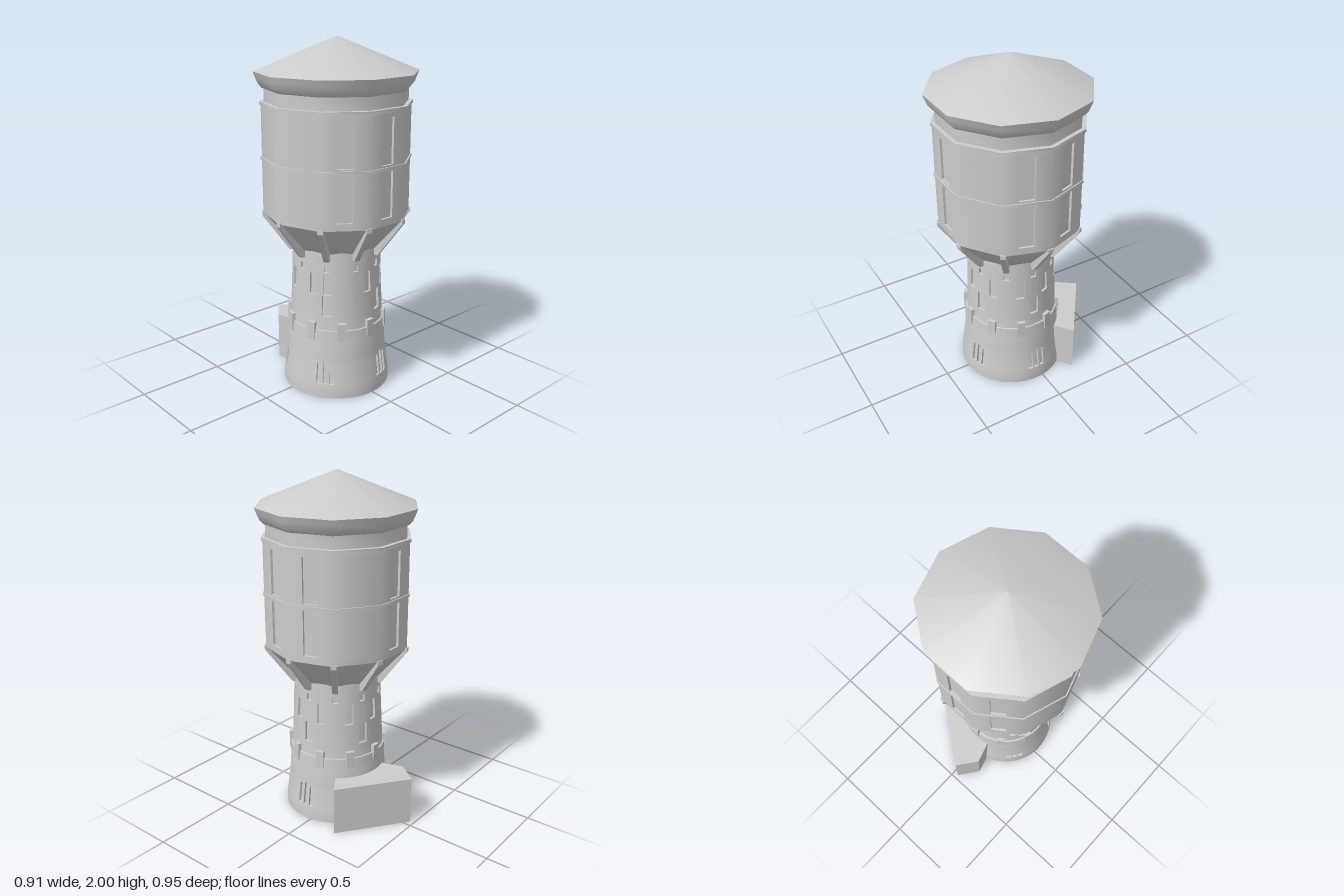
import * as THREE from 'three';
import { toCreasedNormals } from 'three/addons/utils/BufferGeometryUtils.js';

const DEG = Math.PI / 180;
const CREASE = 38 * DEG;
const CENTRE_Z = 0.042;
const stone = new THREE.MeshStandardMaterial({ color: 0xcccccc });
stone.name = 'stone grey';

const uniqueSorted = (list) => [...new Set(list.map((v) => +v.toFixed(4)))].sort((a, b) => a - b);
const angleGap = (a, b) => Math.abs(((a - b + 540) % 360) - 180);
const tenfold = (start) => Array.from({ length: 10 }, (_, i) => start + 36 * i);

function add(group, name, geometry) {
  const mesh = new THREE.Mesh(geometry, stone);
  mesh.name = name;
  group.add(mesh);
  return mesh;
}

// Turned profile; ten sides put the corners at 18 + 36k degrees
function turned(profile, sides = 10) {
  const points = profile.map(([r, y]) => new THREE.Vector2(r, y));
  return toCreasedNormals(new THREE.LatheGeometry(points, sides, 18 * DEG), CREASE);
}

// Upright wall around the axis, with openings set back by a depth.
// Each opening is { a: azimuth, half: half angle, y0, y1 }, in degrees.
function wallWithOpenings(baseAngles, baseYs, openings, radius, depth) {
  const angles = uniqueSorted([...baseAngles,
    ...openings.flatMap((o) => [o.a - o.half, o.a + o.half])].map((a) => (a + 720) % 360));
  const ys = uniqueSorted([...baseYs, ...openings.flatMap((o) => [o.y0, o.y1])]);
  const n = angles.length, rows = ys.length - 1;
  const next = (i) => (i + 1) % n;
  const open = [];
  for (let i = 0; i < n; i++) {
    const mid = angles[i] + ((angles[next(i)] - angles[i] + 360) % 360) / 2;
    open.push([]);
    for (let j = 0; j < rows; j++) {
      const y = (ys[j] + ys[j + 1]) / 2;
      open[i].push(openings.some((o) => angleGap(mid, o.a) < o.half && y > o.y0 && y < o.y1));
    }
  }
  const at = (i, j, set) => {
    const r = radius(angles[i], ys[j]) - (set ? depth : 0);
    return [r * Math.sin(angles[i] * DEG), ys[j], r * Math.cos(angles[i] * DEG)];
  };
  const pos = [];
  const quad = (a, b, c, d) => pos.push(...a, ...b, ...c, ...a, ...c, ...d);
  for (let i = 0; i < n; i++) {
    const k = next(i);
    for (let j = 0; j < rows; j++) {
      const s = open[i][j];
      quad(at(i, j, s), at(k, j, s), at(k, j + 1, s), at(i, j + 1, s));
      // jambs
      const t = open[k][j];
      if (s !== t) quad(at(k, j, s), at(k, j, t), at(k, j + 1, t), at(k, j + 1, s));
      // sills and lintels
      if (j + 1 < rows && s !== open[i][j + 1]) {
        const u = open[i][j + 1];
        quad(at(i, j + 1, s), at(k, j + 1, s), at(k, j + 1, u), at(i, j + 1, u));
      }
    }
  }
  const geometry = new THREE.BufferGeometry();
  geometry.setAttribute('position', new THREE.Float32BufferAttribute(pos, 3));
  return toCreasedNormals(geometry, CREASE);
}

// Round shaft with a flared foot, windows and triple lancets
function buildShaft(group) {
  const profile = [[0.31, 0], [0.31, 0.05], [0.304, 0.09], [0.296, 0.15], [0.288, 0.22],
    [0.28, 0.34], [0.27, 0.4], [0.262, 0.55], [0.256, 0.7], [0.25, 0.87]];
  const radius = (_, y) => {
    const k = Math.max(1, profile.findIndex((p) => p[1] >= y - 1e-6));
    const [r0, y0] = profile[k - 1], [r1, y1] = profile[k];
    return r0 + (r1 - r0) * (y - y0) / (y1 - y0);
  };
  const openings = [];
  for (const a of tenfold(18)) openings.push({ a, half: 3.9, y0: 0.742, y1: 0.778 });
  for (const a of [0, 36, 72, 108, 144, 180, 216, 252, 288, 306])
    openings.push({ a, half: 5.2, y0: 0.61, y1: 0.73 });
  for (let i = 0; i < 5; i++) {
    const a = 18 + 72 * i;
    openings.push({ a, half: 6, y0: 0.485, y1: 0.605 });
    if (i === 2) continue;
    // three round-headed lancets, the middle one taller
    for (const side of [-1, 0, 1]) {
      const spring = side ? 0.196 : 0.208;
      openings.push({ a: a + side * 7.4, half: 2.8, y0: 0.085, y1: spring });
      for (let s = 0; s < 4; s++) openings.push({
        a: a + side * 7.4, half: 2.8 * Math.cos(Math.asin((s + 0.5) / 4)),
        y0: spring + s * 0.0036, y1: spring + (s + 1) * 0.0036 });
    }
  }
  const angles = Array.from({ length: 72 }, (_, i) => i * 5);
  add(group, 'shaft', wallWithOpenings(angles, profile.map((p) => p[1]), openings, radius, 0.013));
  add(group, 'shaftUnderside', new THREE.CircleGeometry(0.31, 64).rotateX(Math.PI / 2));

  // Stone band with ten blocks
  add(group, 'shaftBand', turned([[0.27, 0.343], [0.284, 0.345], [0.279, 0.403], [0.26, 0.405]], 64));
  for (const a of tenfold(0)) {
    const block = add(group, 'bandBlock', new THREE.BoxGeometry(0.046, 0.103, 0.04));
    block.position.set(0.268 * Math.sin(a * DEG), 0.397, 0.268 * Math.cos(a * DEG));
    block.rotation.y = a * DEG;
  }
}

// Ten-sided tank storey with tall recessed panels
function buildTank(group) {
  const apothem = 0.415 * Math.cos(18 * DEG);
  const radius = (a) => apothem / Math.cos((((a + 18 + 360) % 36) - 18) * DEG);
  const openings = [];
  for (const a of [0, 72, 108, 180, 216, 324])
    for (const [y0, y1] of [[1.07, 1.325], [1.36, 1.61]]) openings.push({ a, half: 6.1, y0, y1 });
  add(group, 'tankWall', wallWithOpenings(tenfold(18), [1.03, 1.65], openings, radius, 0.013));
  add(group, 'tankFunnel', turned([[0.24, 0.845], [0.258, 0.85], [0.415, 1.03]]));
  for (const [y, h] of [[1.335, 0.015], [1.637, 0.018]])
    add(group, 'tankRing', turned([[0.4, y], [0.422, y], [0.422, y + h], [0.39, y + h]]));
  add(group, 'roofAndCornice', turned([[0.398, 1.64], [0.398, 1.725], [0.408, 1.728],
    [0.428, 1.752], [0.442, 1.785], [0.453, 1.815], [0, 2]]));

  // Sloping struts beneath the corners
  const outline = [[0.245, 0.81], [0.272, 0.81], [0.421, 1.015], [0.421, 1.04], [0.39, 1.04], [0.245, 0.86]];
  const shape = new THREE.Shape(outline.map(([r, y]) => new THREE.Vector2(r, y)));
  const strut = new THREE.ExtrudeGeometry(shape, { depth: 0.032, bevelEnabled: false }).translate(0, 0, -0.016);
  for (const a of tenfold(18)) add(group, 'strut', strut).rotation.y = (a - 90) * DEG;
}

// Angular annex behind the shaft
function buildAnnex(group) {
  const plan = [[0, 0], [0.335, -0.242], [-0.035, -0.517], [-0.125, -0.397]];
  const shape = new THREE.Shape(plan.map(([x, z]) => new THREE.Vector2(x, -z)));
  add(group, 'annex', new THREE.ExtrudeGeometry(shape, { depth: 0.285, bevelEnabled: false }).rotateX(-Math.PI / 2));
}

export function createModel() {
  const model = new THREE.Group();
  model.name = 'waterTower';
  const tower = new THREE.Group();
  tower.name = 'tower';
  tower.position.z = CENTRE_Z;
  model.add(tower);
  buildShaft(tower);
  buildTank(tower);
  buildAnnex(tower);
  return model;
}
